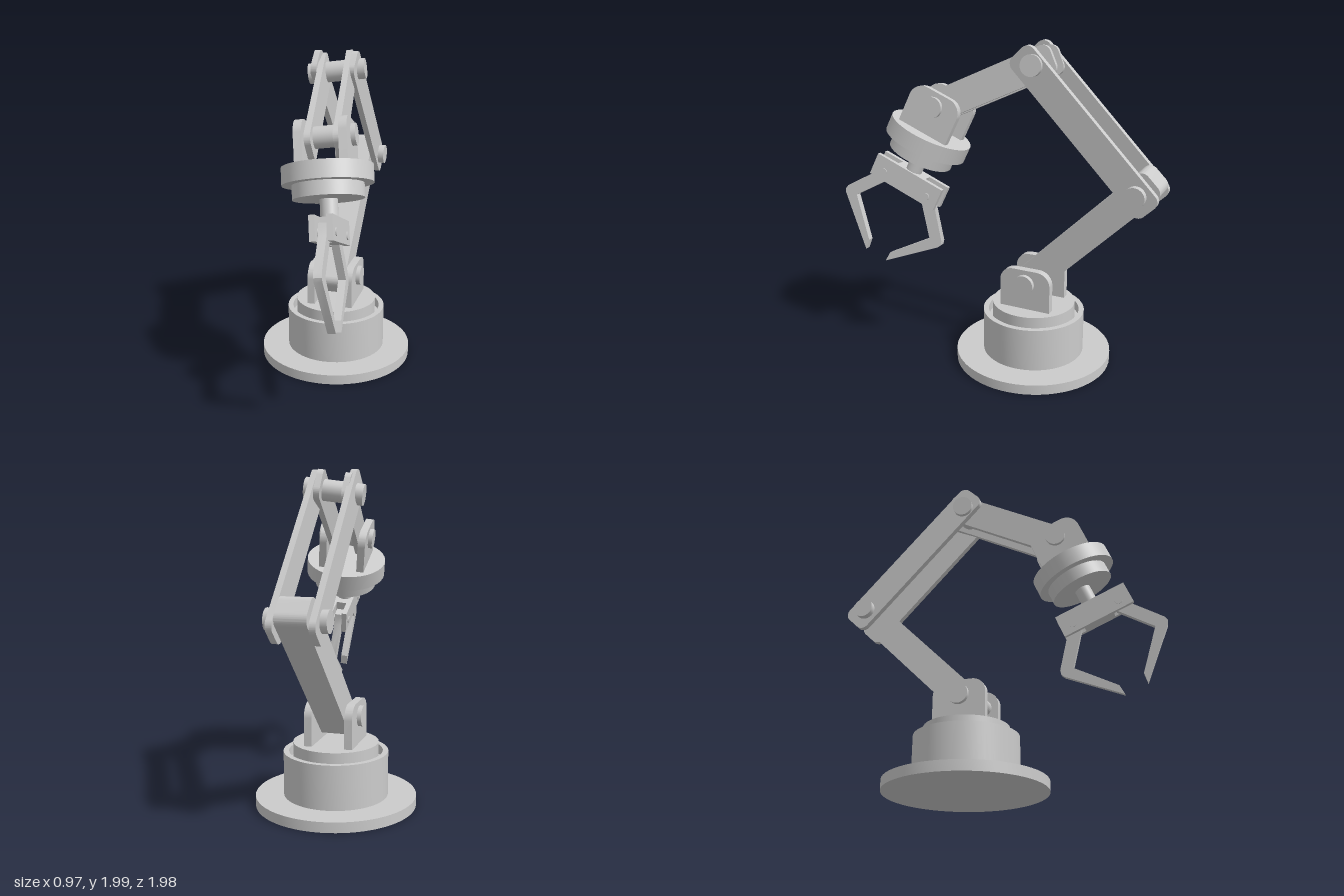
import * as THREE from 'three';
import { toCreasedNormals } from 'three/addons/utils/BufferGeometryUtils.js';

const material = new THREE.MeshStandardMaterial({ color: 0xcccccc });

function add(parent, name, geometry, x = 0, y = 0, z = 0) {
  const mesh = new THREE.Mesh(geometry, material);
  mesh.name = name;
  mesh.position.set(x, y, z);
  parent.add(mesh);
  return mesh;
}

// Profile drawn in the z-y plane, given thickness along x
function plate(shape, thickness) {
  const g = new THREE.ExtrudeGeometry(shape, { depth: thickness, bevelEnabled: false, curveSegments: 8 });
  g.translate(0, 0, -thickness / 2).rotateY(-Math.PI / 2);
  return toCreasedNormals(g, 0.5);
}

// Rectangle with separate radii for the bottom and top corners
function roundedRect(halfW, y0, y1, rBottom, rTop) {
  const s = new THREE.Shape();
  s.moveTo(-halfW + rBottom, y0);
  s.lineTo(halfW - rBottom, y0);
  if (rBottom) s.absarc(halfW - rBottom, y0 + rBottom, rBottom, -Math.PI / 2, 0);
  s.lineTo(halfW, y1 - rTop);
  s.absarc(halfW - rTop, y1 - rTop, rTop, 0, Math.PI / 2);
  s.lineTo(-halfW + rTop, y1);
  s.absarc(-halfW + rTop, y1 - rTop, rTop, Math.PI / 2, Math.PI);
  s.lineTo(-halfW, y0 + rBottom);
  if (rBottom) s.absarc(-halfW + rBottom, y0 + rBottom, rBottom, Math.PI, Math.PI * 1.5);
  return s;
}

// Arm bar between two pivots in a y-z plane
function link(parent, name, from, to, x, thickness) {
  const dy = to[0] - from[0], dz = to[1] - from[1];
  const shape = roundedRect(0.09, -0.115, Math.hypot(dy, dz) + 0.115, 0.05, 0.05);
  const bar = add(parent, name, plate(shape, thickness), x, from[0], from[1]);
  bar.rotation.x = Math.atan2(dz, dy);
}

function pin(parent, name, y, z, radius = 0.062, length = 0.345) {
  const g = new THREE.CylinderGeometry(radius, radius, length, 40).rotateZ(Math.PI / 2);
  return add(parent, name, g, 0, y, z);
}

// Pair of upright lugs around a pivot, with the mounting face 0.165 below it
function clevis(parent, name, y, z) {
  for (const side of [-1, 1]) {
    add(parent, name, plate(roundedRect(0.163, -0.167, 0.09, 0, 0.085), 0.047), side * 0.123, y, z);
  }
}

export function createModel() {
  const model = new THREE.Group();
  model.name = 'roboticArm';
  const baseZ = -0.213;
  const shoulder = [0.55, baseZ], elbow = [1.203, -0.868], top = [1.862, -0.228];

  // Base with a grooved housing, and the turret inside it
  const profile = [[0, 0], [0.485, 0], [0.485, 0.062], [0.315, 0.062], [0.315, 0.33],
    [0.282, 0.33], [0.282, 0.27], [0, 0.27]].map(p => new THREE.Vector2(...p));
  add(model, 'base', toCreasedNormals(new THREE.LatheGeometry(profile, 64), 0.5), 0, 0, baseZ);
  add(model, 'turret', new THREE.CylinderGeometry(0.257, 0.257, 0.125, 64), 0, 0.3225, baseZ);
  clevis(model, 'shoulderBracket', ...shoulder);
  pin(model, 'shoulderPin', ...shoulder);

  // Solid lower arm and twin-plate upper arm
  link(model, 'lowerArm', shoulder, elbow, 0, 0.175);
  pin(model, 'elbowPin', ...elbow);
  for (const side of [-1, 1]) link(model, 'upperArmPlate', elbow, top, side * 0.116, 0.036);

  // Everything past the top joint leans slightly sideways
  const X = new THREE.Vector3(0.986, 0.125, -0.1).normalize();
  const Z = new THREE.Vector3().crossVectors(X, new THREE.Vector3(-0.155, 0.91, -0.385)).normalize();
  const Y = new THREE.Vector3().crossVectors(Z, X);
  const head = new THREE.Group();
  head.name = 'forearm';
  head.quaternion.setFromRotationMatrix(new THREE.Matrix4().makeBasis(X, Y, Z));
  head.position.set(0, ...top);
  model.add(head);
  const wristAt = [-0.488, 0.433];
  pin(head, 'topPin', 0, 0);
  for (const side of [-1, 1]) link(head, 'forearmPlate', [0, 0], wristAt, side * 0.08, 0.036);

  // Wrist: lugs, stepped discs and stem hang below the pivot
  const wrist = new THREE.Group();
  wrist.name = 'wrist';
  wrist.position.set(0, ...wristAt);
  head.add(wrist);
  pin(wrist, 'wristPin', 0, 0);
  clevis(wrist, 'wristBracket', 0, 0);
  add(wrist, 'wristDisc', new THREE.CylinderGeometry(0.255, 0.255, 0.1, 64), 0, -0.215, 0);
  add(wrist, 'wristFlange', new THREE.CylinderGeometry(0.2, 0.2, 0.08, 64), 0, -0.305, 0);
  add(wrist, 'wristStem', new THREE.CylinderGeometry(0.05, 0.05, 0.13, 32), 0, -0.4, 0);

  // Gripper housing, open at both ends for the fingers
  const gripper = new THREE.Group();
  gripper.name = 'gripper';
  gripper.position.y = -0.52;
  wrist.add(gripper);
  add(gripper, 'gripperCore', new THREE.BoxGeometry(0.07, 0.14, 0.2));
  for (const side of [-1, 1]) {
    add(gripper, 'gripperCheek', new THREE.BoxGeometry(0.032, 0.14, 0.47), side * 0.048, 0, 0);
  }

  // Mirrored bent fingers with pivot pins
  const outline = [[0.12, 0.03], [0.12, -0.06], [0.278, -0.26], [0.082, -0.485], [0.076, -0.55],
    [0.35, -0.285], [0.362, -0.262], [0.356, -0.235], [0.205, -0.04], [0.19, 0.03]];
  for (const side of [-1, 1]) {
    const shape = new THREE.Shape(outline.map(([z, y]) => new THREE.Vector2(z * side, y)));
    add(gripper, 'finger', plate(shape, 0.045));
    pin(gripper, 'fingerPin', -0.018, side * 0.157, 0.024, 0.14);
  }
  return model;
}
